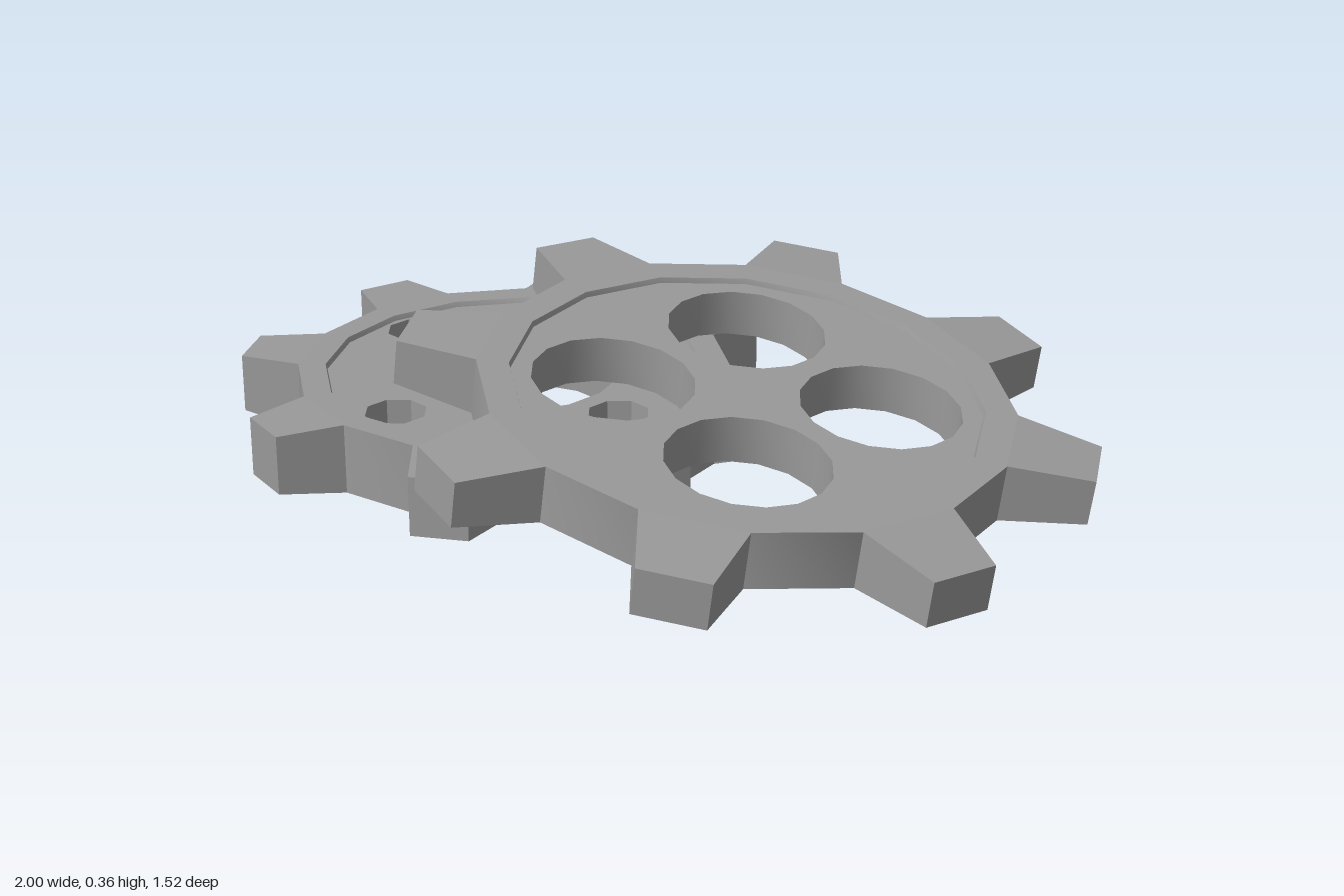
import * as THREE from 'three';
import { toCreasedNormals } from 'three/addons/utils/BufferGeometryUtils.js';

const RAD = Math.PI / 180;
const TEETH = 8;
const TOOTH_ANGLE = 11 * RAD;            // direction of the first tooth
const ROOT_HALF = Math.PI / (TEETH * 2); // half the angle of a tooth at its root

const material = new THREE.MeshStandardMaterial({ color: 0x999999 });

// Smooth across the shallow facets, sharp at the real edges
function addMesh(parent, name, geometry) {
  const mesh = new THREE.Mesh(toCreasedNormals(geometry, 30 * RAD), material);
  mesh.name = name;
  parent.add(mesh);
  return mesh;
}

// Points of a regular polygon
function ring(radius, sides, start = 0) {
  return Array.from({ length: sides }, (_, i) => {
    const a = start + (i / sides) * Math.PI * 2;
    return new THREE.Vector2(radius * Math.cos(a), radius * Math.sin(a));
  });
}

// Tooth: a box bent so it narrows and thins from root to tip
function toothGeometry({ root, tip, half, tipTop, tipBottom }) {
  const g = new THREE.BoxGeometry(1, 1, 1);
  const p = g.attributes.position;
  for (let i = 0; i < p.count; i++) {
    const outer = p.getX(i) > 0;
    const up = p.getY(i) > 0;
    const a = Math.sign(p.getZ(i)) * (outer ? 5.8 * RAD : ROOT_HALF);
    const r = outer ? tip : root;
    const y = up ? (outer ? tipTop : half) : (outer ? tipBottom : -half);
    p.setXYZ(i, r * Math.cos(a), y, r * Math.sin(a));
  }
  return g;
}

function createGear(name, spec) {
  const { root, ringRadius, half, recess, holes } = spec;
  const gear = new THREE.Group();
  gear.name = name;
  const inner = ringRadius - 0.004;

  // Rim with a small steep step down to the disc on both sides
  const profile = [
    [inner, -half + recess], [ringRadius, -half], [root, -half],
    [root, half], [ringRadius, half], [inner, half - recess],
  ].map(([r, y]) => new THREE.Vector2(r, y));
  const phi = Math.PI / 2 - TOOTH_ANGLE - ROOT_HALF;
  addMesh(gear, 'rim', new THREE.LatheGeometry(profile, TEETH * 2, phi));

  // Recessed disc with its holes
  const shape = new THREE.Shape(ring(inner, TEETH * 2, TOOTH_ANGLE + ROOT_HALF));
  for (const { center, radius, sides } of holes) {
    const points = ring(radius, sides, Math.PI / sides).map((p) => p.add(center));
    shape.holes.push(new THREE.Path(points));
  }
  const depth = 2 * (half - recess);
  const disc = new THREE.ExtrudeGeometry(shape, { depth, bevelEnabled: false });
  disc.rotateX(Math.PI / 2).translate(0, depth / 2, 0);
  addMesh(gear, 'disc', disc);

  // Teeth
  const tooth = toothGeometry(spec);
  for (let i = 0; i < TEETH; i++) {
    addMesh(gear, 'tooth', tooth).rotation.y = -(TOOTH_ANGLE + (i / TEETH) * Math.PI * 2);
  }
  return gear;
}

// Four equal holes around the centre
function fourHoles(distance, start, radius, sides) {
  return ring(distance, 4, start).map((center) => ({ center, radius, sides }));
}

export function createModel() {
  const model = new THREE.Group();
  model.name = 'gears';

  // Small gear lying flat, with a centre hole and four bolt holes
  const small = createGear('smallGear', {
    root: 0.49, tip: 0.63, ringRadius: 0.428, half: 0.08, recess: 0.012,
    tipTop: 0.075, tipBottom: -0.06,
    holes: [
      { center: new THREE.Vector2(), radius: 0.24, sides: 16 },
      ...fourHoles(0.345, 0, 0.07, 8),
    ],
  });
  small.position.set(-0.37, 0.08, 0.12);

  // Large gear leaning on the small one, with four big holes
  const large = createGear('largeGear', {
    root: 0.583, tip: 0.762, ringRadius: 0.513, half: 0.066, recess: 0.012,
    tipTop: 0.051, tipBottom: -0.054,
    holes: fourHoles(0.288, Math.PI / 4, 0.178, 16),
  });
  large.position.set(0.242, 0.191, 0);
  large.rotation.z = -9 * RAD;

  model.add(small, large);
  return model;
}
